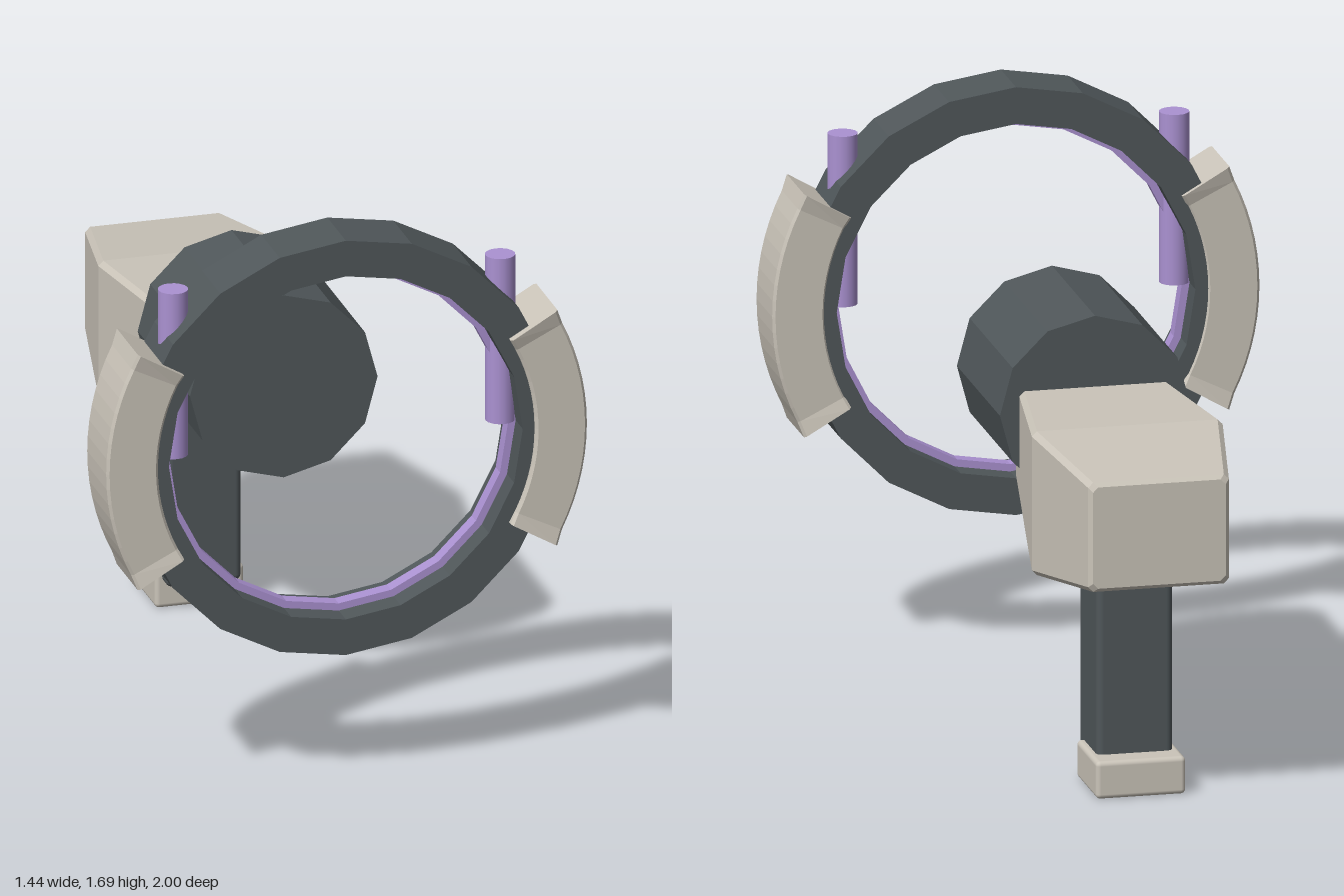
import * as THREE from 'three';
import { RoundedBoxGeometry } from 'three/addons/geometries/RoundedBoxGeometry.js';

const material = (color, flatShading = false) => new THREE.MeshStandardMaterial({ color, flatShading });

// Rectangle with chamfered corners, counter-clockwise
function chamferRect(u0, u1, v0, v1, b) {
  return [
    [u1, v0 + b], [u1, v1 - b], [u1 - b, v1], [u0 + b, v1],
    [u0, v1 - b], [u0, v0 + b], [u0 + b, v0], [u1 - b, v0],
  ];
}

// Closed skin through a row of matching cross-sections, capped at both ends
function loft(sections) {
  const n = sections[0].length, last = (sections.length - 1) * n, index = [];
  for (let i = 0; i < sections.length - 1; i++) {
    for (let j = 0; j < n; j++) {
      const a = i * n + j, b = i * n + (j + 1) % n;
      index.push(a, a + n, b + n, a, b + n, b);
    }
  }
  for (let k = 1; k < n - 1; k++) {
    index.push(0, k, k + 1, last, last + k + 1, last + k);
  }
  const geo = new THREE.BufferGeometry();
  geo.setAttribute('position', new THREE.Float32BufferAttribute(sections.flat(2), 3));
  geo.setIndex(index);
  geo.computeVertexNormals();
  return geo;
}

// Twenty-sided band around the z axis
function band(inner, outer, half) {
  const profile = [[inner, -half], [outer, -half], [outer, half], [inner, half], [inner, -half]]
    .map(([r, h]) => new THREE.Vector2(r, h));
  return new THREE.LatheGeometry(profile, 20).rotateX(Math.PI / 2);
}

// Curved grip: a section swept along an arc, with a small lip at each end
function gripGeometry() {
  const steps = 16, sweep = 0.525, sections = [];
  for (let i = 0; i <= steps; i++) {
    const t = -sweep + (2 * sweep * i) / steps;
    const lip = i === 0 || i === steps ? 0.01 : 0;
    const section = chamferRect(0.565, 0.72 + lip * 0.6, -0.105 - lip, 0.105 + lip, 0.008);
    sections.push(section.map(([r, z]) => [r * Math.cos(t), r * Math.sin(t), z]));
  }
  return loft(sections);
}

// Rear housing: widest and deepest in the middle, with softened end edges
function housingGeometry() {
  const stations = [
    [-0.08, 0.195, 0.79, 1.055],
    [-0.092, 0.208, 0.774, 1.07],
    [-0.6, 0.282, 0.635, 1.065],
    [-0.988, 0.208, 0.688, 1.015],
    [-1.0, 0.196, 0.70, 1.003],
  ];
  return loft(stations.map(([z, w, y0, y1]) =>
    chamferRect(-w, w, y0, y1, 0.015).map(([x, y]) => [x, y, z])));
}

export function createModel() {
  const group = new THREE.Group();
  const dark = material(0x50575a), darkFlat = material(0x50575a, true);
  const cream = material(0xcac4b9), creamFlat = material(0xcac4b9, true);
  const lilac = material(0xab92d2), lilacFlat = material(0xab92d2, true);

  const add = (name, geometry, mat, x, y, z) => {
    const mesh = new THREE.Mesh(geometry, mat);
    mesh.name = name;
    mesh.position.set(x, y, z);
    group.add(mesh);
    return mesh;
  };

  // Front hoop with a thin glowing strip on its inside
  add('hoop', band(0.53, 0.64, 0.095), darkFlat, 0, 1.05, 0.875);
  add('innerStrip', band(0.508, 0.535, 0.022), lilacFlat, 0, 1.05, 0.875);

  // Grips and upright rods on both sides of the hoop
  for (const side of [1, -1]) {
    const label = side > 0 ? 'left' : 'right';
    const grip = add(label + 'Grip', gripGeometry(), creamFlat, 0, 1.05, 0.88);
    if (side < 0) grip.rotation.z = Math.PI;
    add(label + 'Rod', new THREE.CylinderGeometry(0.044, 0.044, 0.51, 16), lilac, side * 0.49, 1.305, 0.875);
  }

  // Twelve-sided barrel
  add('barrel', new THREE.CylinderGeometry(0.281, 0.281, 0.535, 12).rotateX(Math.PI / 2), darkFlat, 0, 1.0, 0.067);

  // Housing, handle and foot
  add('housing', housingGeometry(), creamFlat, 0, 0, 0);
  add('handle', new RoundedBoxGeometry(0.225, 0.62, 0.225, 3, 0.02), dark, 0, 0.39, -0.588);
  add('foot', new RoundedBoxGeometry(0.265, 0.112, 0.25, 3, 0.014), cream, 0, 0.058, -0.65);

  return group;
}
